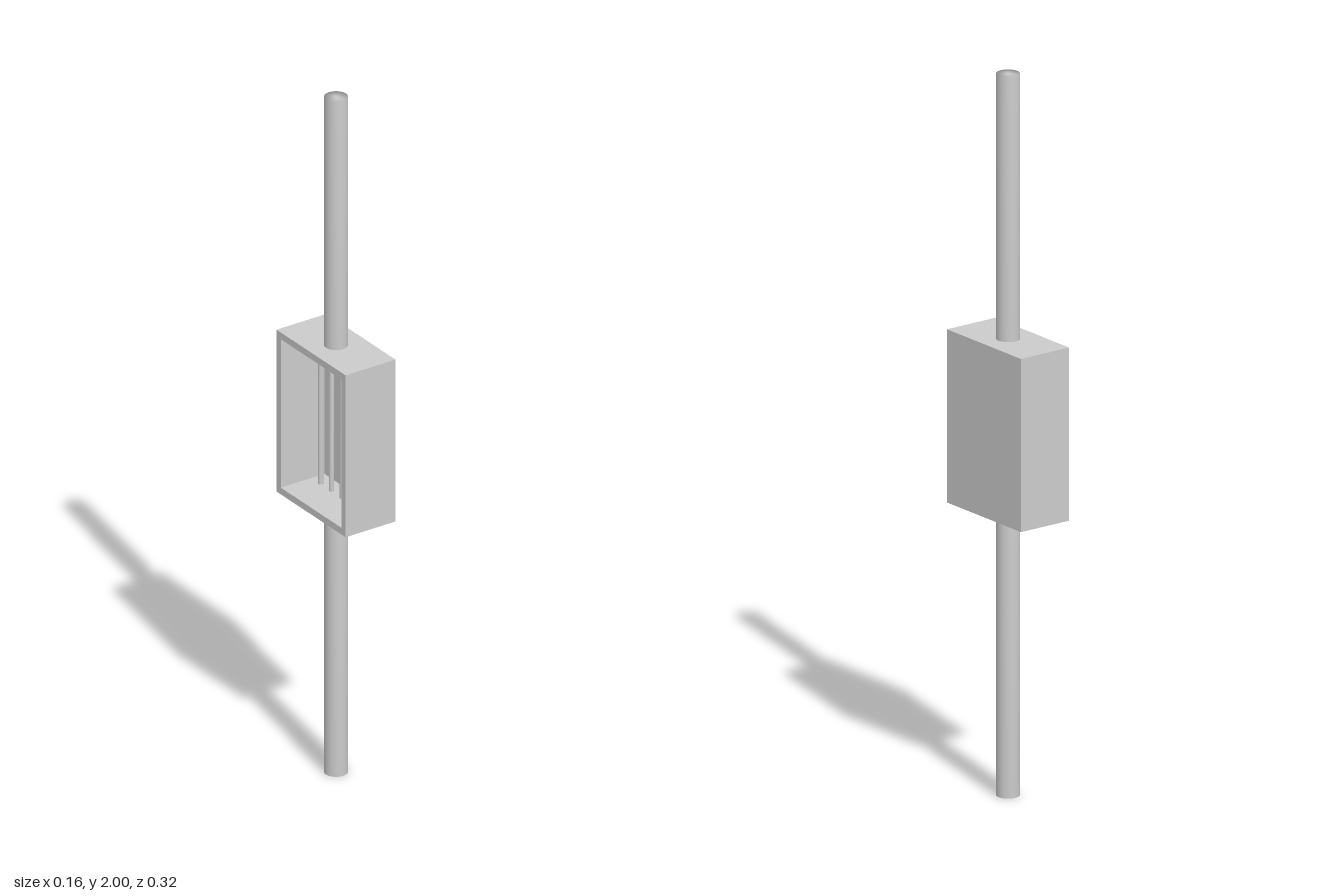
import * as THREE from 'three';
import { mergeVertices } from 'three/addons/utils/BufferGeometryUtils.js';

const material = new THREE.MeshStandardMaterial({ color: 0xcccccc });

// Box enclosure: width (x), depth (z), bottom and top heights, wall thickness
const WIDTH = 0.16, DEPTH = 0.32, BOTTOM = 0.785, TOP = 1.265, WALL = 0.02;
const HEIGHT = TOP - BOTTOM, MIDDLE = (TOP + BOTTOM) / 2;

function addMesh(parent, name, geometry, x = 0, y = 0, z = 0) {
  const mesh = new THREE.Mesh(geometry, material);
  mesh.name = name;
  mesh.position.set(x, y, z);
  parent.add(mesh);
  return mesh;
}

// Capped vertical rod whose normals are shared between side and caps
function rod(radius, length, sides) {
  const geometry = new THREE.CylinderGeometry(radius, radius, length, sides);
  geometry.deleteAttribute('normal');
  geometry.deleteAttribute('uv');
  const merged = mergeVertices(geometry);
  merged.computeVertexNormals();
  return merged;
}

function rectangle(path, w, h) {
  path.moveTo(-w / 2, -h / 2);
  path.lineTo(w / 2, -h / 2);
  path.lineTo(w / 2, h / 2);
  path.lineTo(-w / 2, h / 2);
  path.closePath();
  return path;
}

export function createModel() {
  const model = new THREE.Group();
  model.name = 'cableJunctionBox';

  // Enclosure: four walls around an opening that faces -x, closed on +x
  const enclosure = new THREE.Group();
  enclosure.name = 'enclosure';
  model.add(enclosure);
  const innerDepth = DEPTH - 2 * WALL, innerHeight = HEIGHT - 2 * WALL;
  const outline = rectangle(new THREE.Shape(), DEPTH, HEIGHT);
  outline.holes.push(rectangle(new THREE.Path(), innerDepth, innerHeight));
  const walls = new THREE.ExtrudeGeometry(outline, { depth: WIDTH, bevelEnabled: false });
  walls.translate(0, 0, -WIDTH / 2).rotateY(Math.PI / 2);
  addMesh(enclosure, 'enclosureWalls', walls, 0, MIDDLE, 0);
  addMesh(enclosure, 'closedPanel', new THREE.BoxGeometry(WALL, innerHeight, innerDepth),
    (WIDTH - WALL) / 2, MIDDLE, 0);

  // Cables entering from below and above
  const cableRadius = 0.032;
  addMesh(model, 'lowerCable', rod(cableRadius, BOTTOM, 32), 0, BOTTOM / 2, 0);
  addMesh(model, 'upperCable', rod(cableRadius, 2 - TOP, 32), 0, (2 + TOP) / 2, 0);

  // Row of thin wires inside the enclosure
  const wires = new THREE.Group();
  wires.name = 'wires';
  model.add(wires);
  for (let i = -2; i <= 2; i++) {
    addMesh(wires, 'wire', rod(0.007, innerHeight, 16), 0.02, MIDDLE, i * 0.05);
  }

  return model;
}
